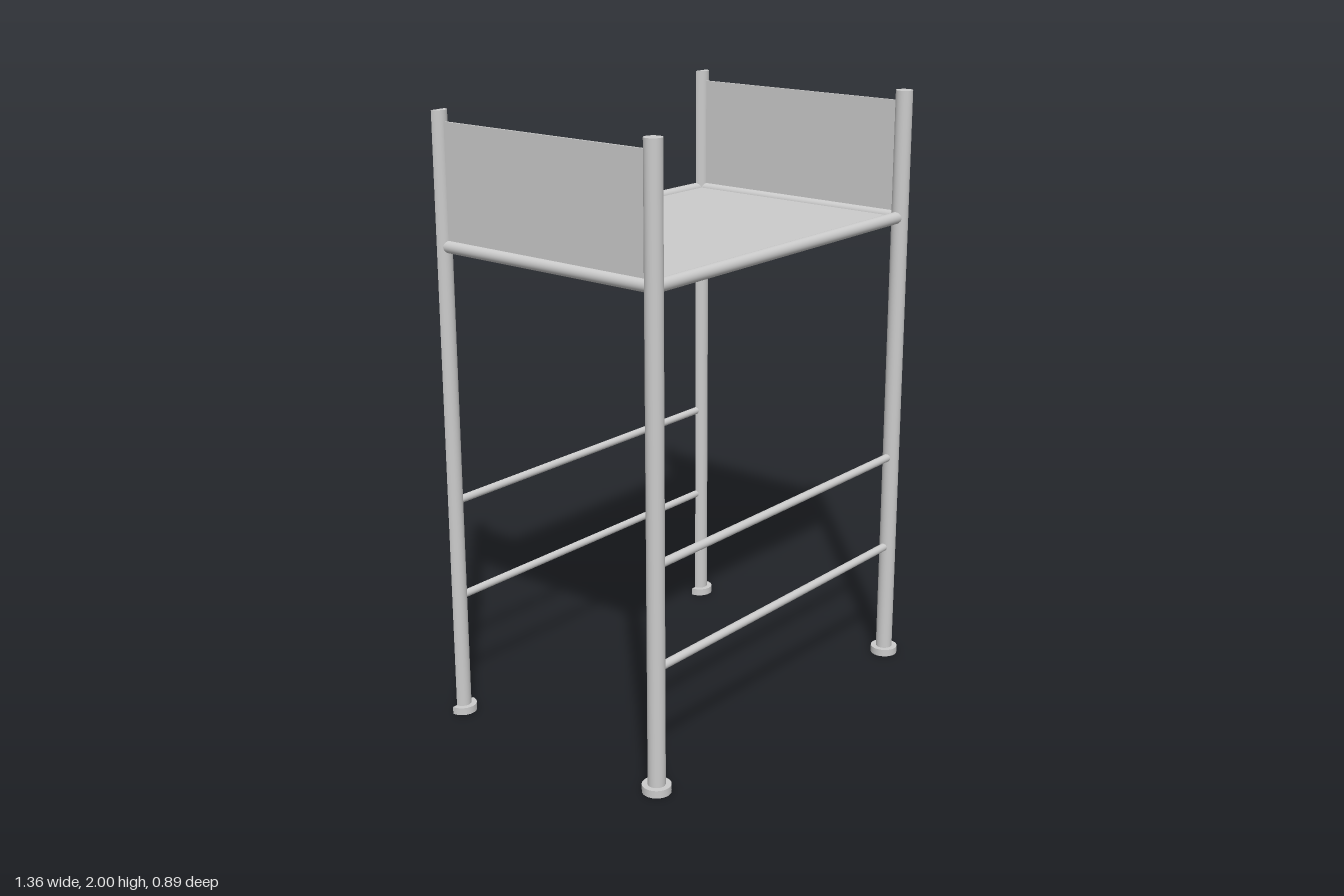
import * as THREE from 'three';

const X = 0.632;        // post centres, left and right
const FRONT = 0.401;    // front post centre
const BACK = -0.446;    // plane where the rear tubes are cut open
const DECK = 1.582;     // height of the deck frame

export function createModel() {
  const group = new THREE.Group();
  const material = new THREE.MeshStandardMaterial({ color: 0xcccccc, side: THREE.DoubleSide });

  const add = (name, geometry, x, y, z) => {
    const mesh = new THREE.Mesh(geometry, material);
    mesh.name = name;
    mesh.position.set(x, y, z);
    group.add(mesh);
    return mesh;
  };

  // Upright tube; a half tube keeps only its front (+z) side and is open behind
  const tube = (radius, length, half) => half
    ? new THREE.CylinderGeometry(radius, radius, length, 16, 1, false, -Math.PI / 2, Math.PI)
    : new THREE.CylinderGeometry(radius, radius, length, 32);

  for (const [row, z, half] of [['front', FRONT, false], ['back', BACK, true]]) {
    // Posts with round foot flanges
    for (const [side, x] of [['Left', X], ['Right', -X]]) {
      add(`${row}${side}Post`, tube(0.028, 2, half), x, 1, z);
      add(`${row}${side}Foot`, tube(0.046, 0.025, half), x, 0.0125, z);
    }
    // Deck rail and two lower rails between the posts
    for (const [name, y, radius] of [
      ['DeckRail', DECK, 0.02], ['MiddleRail', 0.742, 0.0135], ['LowerRail', 0.41, 0.0135],
    ]) {
      add(row + name, tube(radius, 2 * X, half), 0, y, z).rotation.z = Math.PI / 2;
    }
  }

  // Side rails, each carrying a thin upright panel
  const midZ = (FRONT + BACK) / 2;
  for (const [side, x] of [['left', X], ['right', -X]]) {
    add(`${side}DeckRail`, tube(0.02, FRONT - BACK, false), x, DECK, midZ).rotation.x = Math.PI / 2;
    add(`${side}Panel`, new THREE.BoxGeometry(0.008, 0.375, 0.8), x, 1.778, midZ);
  }

  // Thin deck plate set inside the frame
  add('deck', new THREE.BoxGeometry(2 * X - 0.03, 0.008, FRONT - BACK - 0.03), 0, DECK, midZ);

  return group;
}
